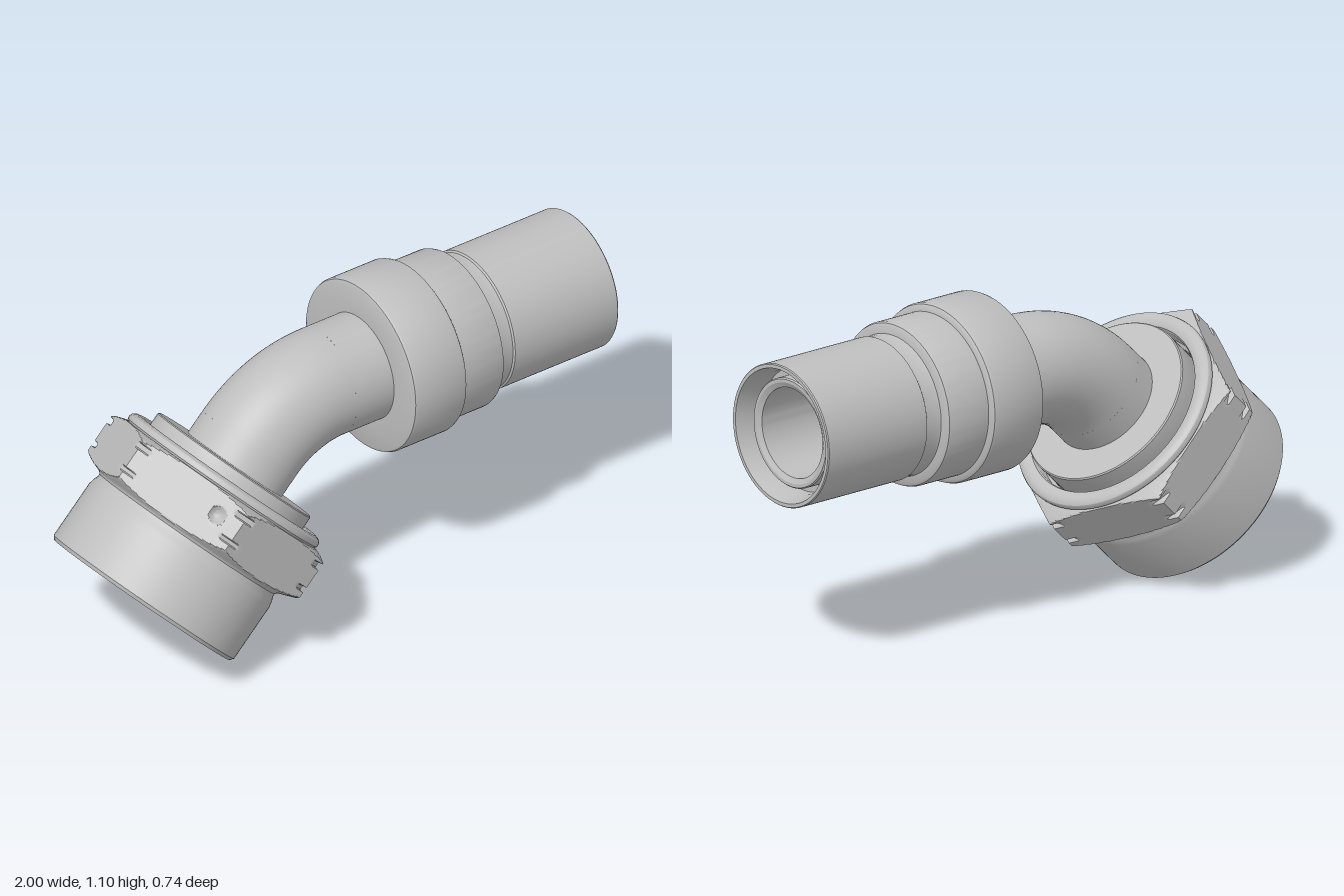
import * as THREE from 'three';
import { toCreasedNormals } from 'three/addons/utils/BufferGeometryUtils.js';

const AXIS_Y = 0.805;      // height of the straight run
const PIPE = 0.185;        // pipe outer radius
const BORE = 0.152;        // pipe inner radius
const BEND = 0.42;         // bend radius of the elbow
const BEND_X = -0.021;     // where the bend begins

const metal = new THREE.MeshStandardMaterial({ color: 0xbebebe, side: THREE.DoubleSide });
metal.name = 'brushed metal';

function part(name, geometry, crease = 0.5) {
  const mesh = new THREE.Mesh(crease ? toCreasedNormals(geometry, crease) : geometry, metal);
  mesh.name = name;
  return mesh;
}

// Revolved part from [radius, distance along axis] pairs
function turned(name, profile) {
  return part(name, new THREE.LatheGeometry(profile.map(p => new THREE.Vector2(...p)), 96));
}

// Linear interpolation through [position, value] pairs
function along(table, s) {
  for (let i = 1; i < table.length; i++) {
    const [s0, v0] = table[i - 1], [s1, v1] = table[i];
    if (s <= s1) return v0 + (v1 - v0) * (s - s0) / (s1 - s0);
  }
  return table[table.length - 1][1];
}

// Hexagon with turned chamfers, paired corner notches and one drilled dimple
function hexGeometry() {
  const apothem = 0.371, start = 0.258, end = 0.458, rows = 50;
  const chamfer = [[start, 0.343], [0.268, 0.352], [0.276, 0.375], [0.292, 0.418],
    [0.3, 0.43], [0.434, 0.43], [0.442, 0.412], [0.456, 0.37], [end, 0.345]];
  const line = [];
  for (let i = 0; i <= rows; i++) line.push(new THREE.Vector2(1, start + (end - start) * i / rows));
  const geometry = new THREE.LatheGeometry(line, 360);
  const pos = geometry.attributes.position;
  const hole = new THREE.Vector3(-0.258, 0.378, 0.297);
  const v = new THREE.Vector3();
  const sixth = Math.PI / 3;
  for (let i = 0; i < pos.count; i++) {
    v.fromBufferAttribute(pos, i);
    const angle = Math.atan2(v.x, v.z);
    const fromFlat = angle - Math.round(angle / sixth) * sixth;
    const fromCorner = sixth / 2 - Math.abs(fromFlat);
    let r = Math.min(apothem / Math.cos(fromFlat), along(chamfer, v.y));
    if (Math.abs(v.y - 0.328) < 0.009 || Math.abs(v.y - 0.418) < 0.009) {
      r = Math.min(r, 0.406 / Math.cos(fromCorner));
    }
    v.x *= r;
    v.z *= r;
    const d = v.distanceTo(hole) / 0.03;
    if (d < 1) {
      const sink = 1 - 0.06 * (1 - d * d);
      v.x *= sink;
      v.z *= sink;
    }
    pos.setXYZ(i, v.x, v.y, v.z);
  }
  return geometry;
}

export function createModel() {
  const model = new THREE.Group();
  model.name = 'elbow fitting';

  // Straight pipe, stepped ferrule and hose sleeve in one turning
  const sleeve = turned('ferruleAndSleeve', [
    [PIPE, BEND_X], [PIPE, 0.13],
    [0.288, 0.13], [0.297, 0.134], [0.301, 0.143],
    [0.301, 0.328], [0.297, 0.339], [0.288, 0.345],
    [0.275, 0.347], [0.275, 0.5], [0.271, 0.51], [0.262, 0.515],
    [0.238, 0.518], [0.235, 0.525], [0.235, 0.575], [0.241, 0.58],
    [0.241, 0.996], [0.238, 1], [0.226, 1],
    [0.208, 0.93], [0.208, 0.9], [PIPE, 0.9], [PIPE, 0.955],
    [0.181, 0.96], [0.17, 0.96], [BORE, 0.95], [BORE, BEND_X],
  ]);
  sleeve.rotation.z = -Math.PI / 2;
  sleeve.position.y = AXIS_Y;
  model.add(sleeve);

  // 45 degree bend, outside and bore
  for (const [name, radius] of [['elbowPipe', PIPE], ['elbowBore', BORE]]) {
    const bend = part(name, new THREE.TorusGeometry(BEND, radius, 64, 32, Math.PI / 4), 0);
    bend.rotation.z = Math.PI / 2;
    bend.position.set(BEND_X, AXIS_Y - BEND, 0);
    model.add(bend);
  }

  // Swivel end, built upright from its open face and then tilted
  const swivel = new THREE.Group();
  swivel.name = 'swivelEnd';
  swivel.position.set(-0.755, 0.245, 0);
  swivel.rotation.z = -Math.PI / 4;
  model.add(swivel);

  // Nut barrel with rolled lip
  swivel.add(turned('nutBarrel', [
    [0.32, 0.012], [0.332, 0], [0.345, 0], [0.355, 0.012],
    [0.355, 0.215], [0.351, 0.235], [0.345, 0.25], [0.345, 0.455],
    [0.364, 0.455], [0.371, 0.462], [0.372, 0.471], [0.368, 0.481], [0.359, 0.488],
    [0.345, 0.491], [0.328, 0.489], [0.317, 0.483], [0.312, 0.473],
    [0.312, 0.42], [0.302, 0.41], [0.302, 0.38], [0.32, 0.36], [0.32, 0.012],
  ]));
  swivel.add(part('nutHexagon', hexGeometry()));

  // Collar and sealing nose on the pipe end
  const bendEnd = 0.792 - BEND * Math.tan(Math.PI / 8);
  swivel.add(turned('collar', [
    [BORE, 0.22], [0.215, 0.22], [0.3, 0.38], [0.3, 0.529], [0.296, 0.533],
    [PIPE, 0.533], [PIPE, bendEnd], [BORE, bendEnd], [BORE, 0.22],
  ]));

  return model;
}
